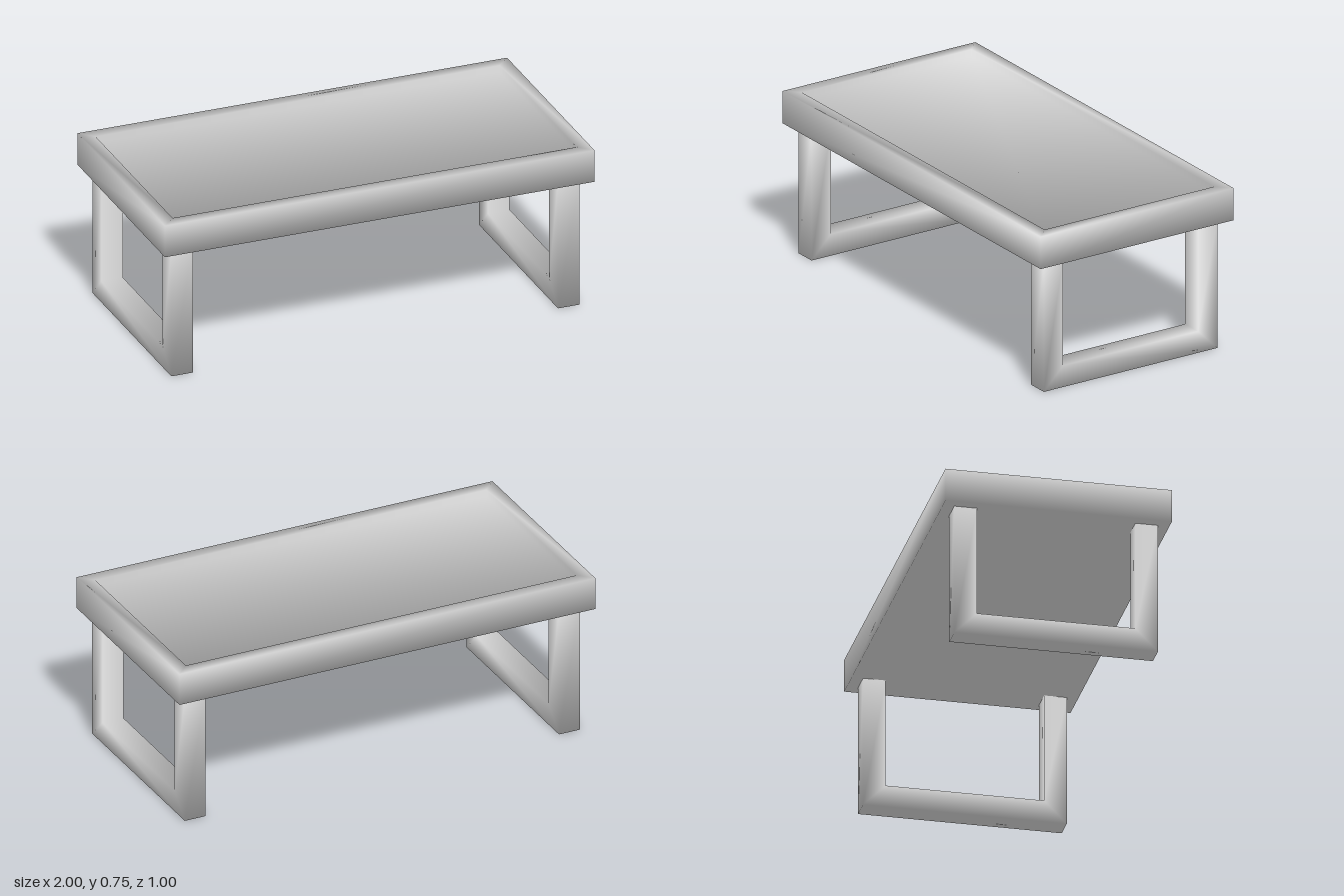
import * as THREE from 'three';

const material = new THREE.MeshStandardMaterial({ color: 0xcccccc });

// Skins a list of four-cornered rings and caps both ends.
// Each corner is { p: position, n: direction of its soft normal }.
function loft(name, rings) {
  const positions = [], normals = [], index = [];
  for (const { p, n } of rings.flat()) {
    positions.push(...p);
    normals.push(...new THREE.Vector3(...n).normalize().toArray());
  }
  for (let i = 0; i < rings.length - 1; i++) {
    for (let j = 0; j < 4; j++) {
      const a = i * 4 + j, b = i * 4 + (j + 1) % 4;
      index.push(a, b, b + 4, a, b + 4, a + 4);
    }
  }
  const e = (rings.length - 1) * 4;
  index.push(0, 2, 1, 0, 3, 2, e, e + 1, e + 2, e, e + 2, e + 3);

  const geometry = new THREE.BufferGeometry();
  geometry.setAttribute('position', new THREE.Float32BufferAttribute(positions, 3));
  geometry.setAttribute('normal', new THREE.Float32BufferAttribute(normals, 3));
  geometry.setIndex(index);
  const mesh = new THREE.Mesh(geometry, material);
  mesh.name = name;
  return mesh;
}

// Tabletop: outer walls, flat rim and a shallow sunken panel
function createTabletop() {
  const corners = [[-1, -1], [-1, 1], [1, 1], [1, -1]];
  const ring = (hx, hz, y, out, up) => corners.map(([sx, sz]) => ({
    p: [sx * hx, y, sz * hz],
    n: [sx * out, up, sz * out],
  }));
  return loft('tabletop', [
    ring(1, 0.5, 0.6, 1, -1),
    ring(1, 0.5, 0.75, 1, 1),
    ring(0.94, 0.44, 0.75, -1, 1),
    ring(0.94, 0.44, 0.72, -1, 1),
  ]);
}

// U-shaped leg frame: square bar swept down, across and up with mitred corners
function createLegFrame(name, x) {
  const half = 0.05;
  const stops = [[-1, true], [-1, false], [1, false], [1, true]];
  const rings = stops.map(([side, top]) => {
    const outer = (sx) => ({
      p: [sx * half, top ? 0.6 : 0, side * 0.45],
      n: [sx, top ? 1 : -1, side],
    });
    const inner = (sx) => ({
      p: [sx * half, top ? 0.6 : 0.1, side * 0.35],
      n: [sx, 1, -side],
    });
    return [outer(1), inner(1), inner(-1), outer(-1)];
  });
  const frame = loft(name, rings);
  frame.position.x = x;
  return frame;
}

export function createModel() {
  const table = new THREE.Group();
  table.name = 'coffeeTable';
  table.add(
    createTabletop(),
    createLegFrame('leftLegFrame', 0.9),
    createLegFrame('rightLegFrame', -0.9),
  );
  return table;
}
